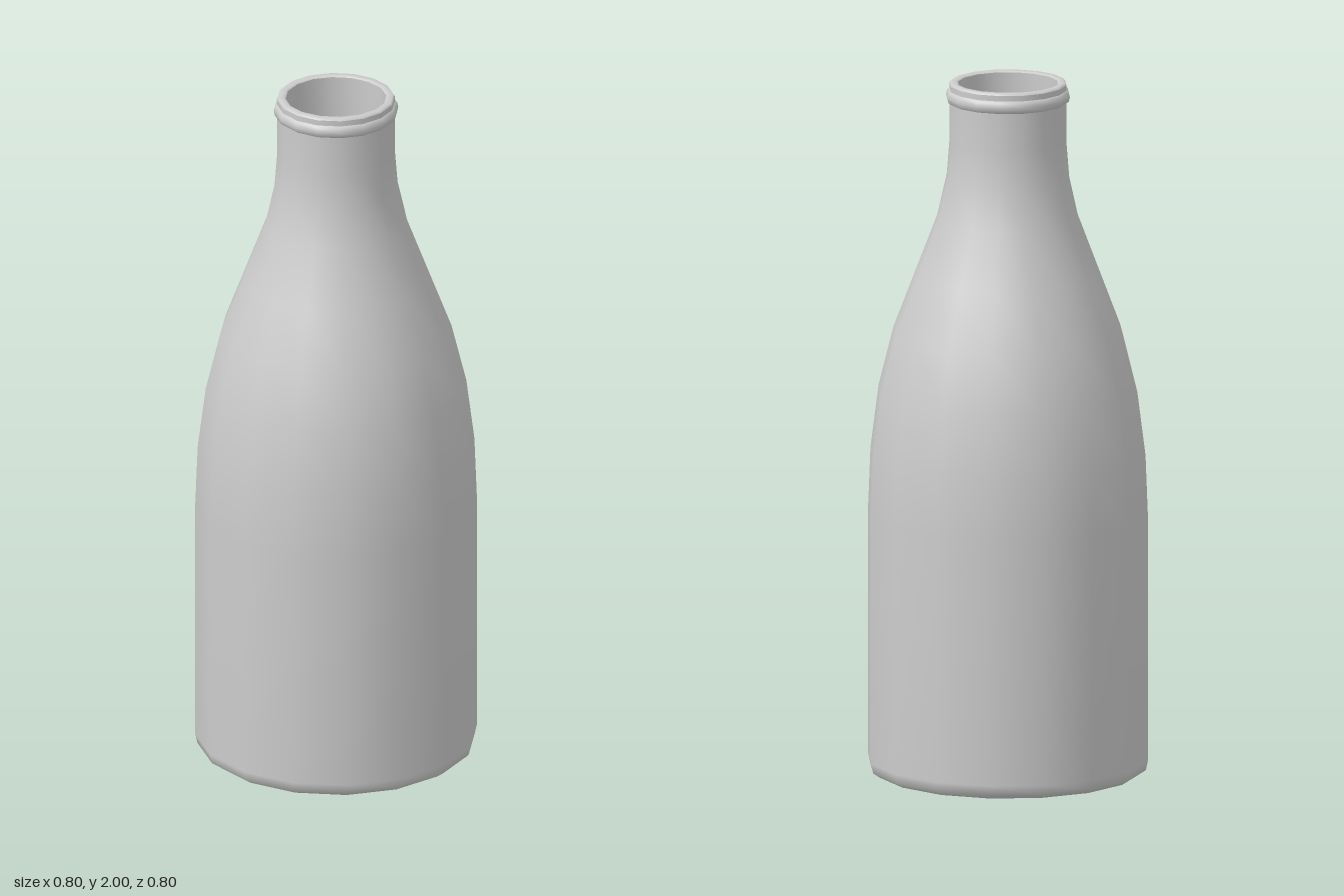
import * as THREE from 'three';

const SIDES = 16;

export function createModel() {
  const model = new THREE.Group();
  model.name = 'bottle';
  const grey = new THREE.MeshStandardMaterial({ color: 0xcccccc });
  grey.name = 'light grey';

  // Revolves a [radius, height] profile around the y axis
  const revolve = (name, profile) => {
    const points = profile.map(([r, y]) => new THREE.Vector2(r, y));
    const mesh = new THREE.Mesh(new THREE.LatheGeometry(points, SIDES), grey);
    mesh.name = name;
    model.add(mesh);
  };

  // Wall from the rounded foot through the shoulder to the neck
  const wall = [
    [0.4, 0.045], [0.4, 0.4], [0.4, 0.75], [0.393, 0.93], [0.37, 1.11], [0.328, 1.28],
    [0.265, 1.445], [0.202, 1.61], [0.175, 1.73], [0.167, 1.83],
  ];
  const foot = [[0, 0], [0.355, 0], [0.375, 0.004], [0.394, 0.017]];
  revolve('outerWall', [...foot, ...wall, [0.167, 1.945]]);

  // Raised ring just below the mouth
  revolve('neckRing', [
    [0.167, 1.942], [0.174, 1.947], [0.177, 1.96], [0.174, 1.973], [0.167, 1.978],
  ]);

  // Mouth with a flat rim
  revolve('mouth', [[0.167, 1.94], [0.167, 1.994]]);
  revolve('rim', [[0.167, 1.994], [0.163, 2], [0.148, 2], [0.143, 1.996]]);

  // Hollow inside, running down from the rim to the floor
  const inner = wall.map(([r, y]) => [r - 0.025, y]).reverse();
  revolve('innerWall', [[0.143, 1.996], ...inner, [0.36, 0.03]]);
  revolve('innerFloor', [[0.36, 0.03], [0, 0.03]]);

  return model;
}
